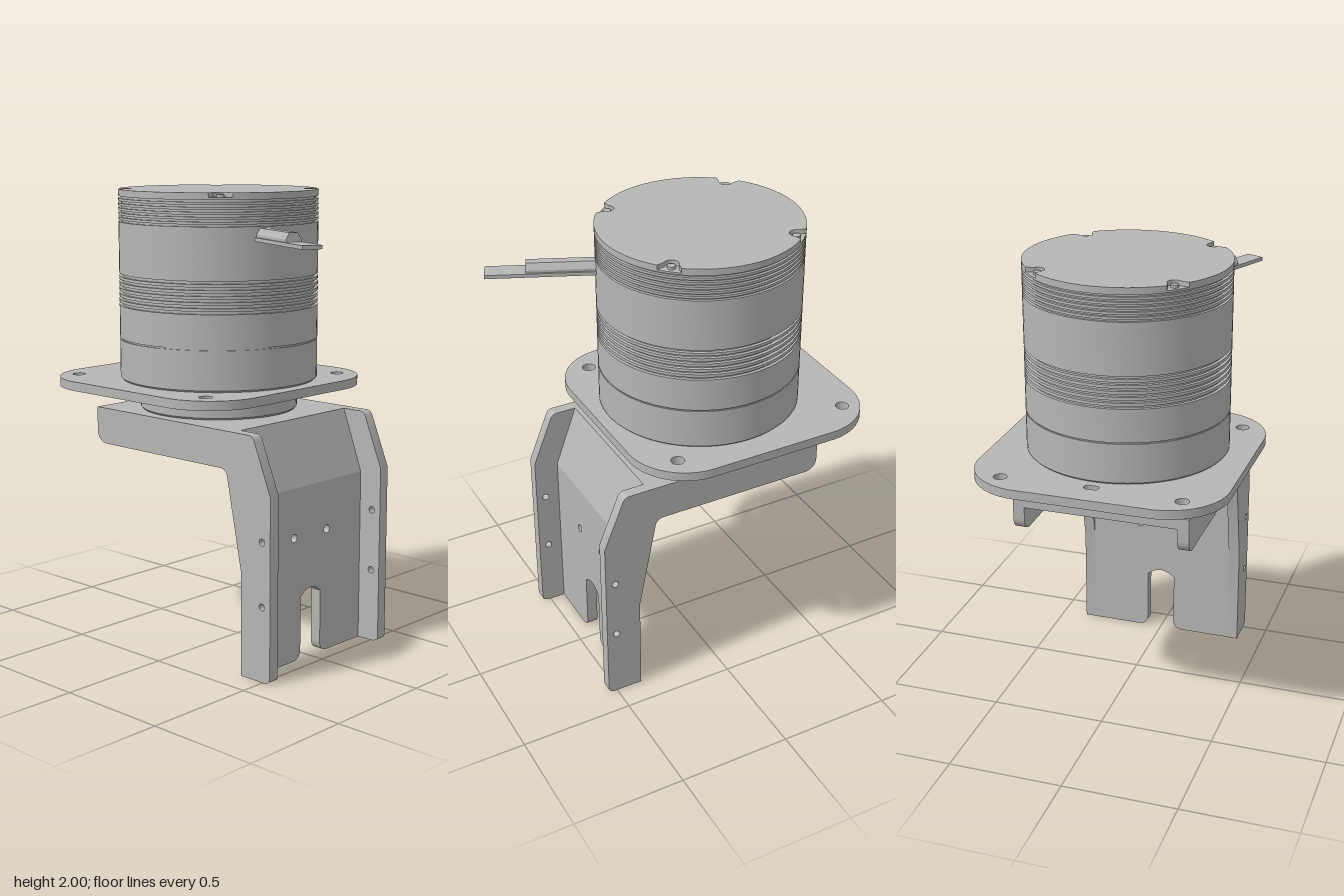
import * as THREE from 'three';
import { toCreasedNormals } from 'three/addons/utils/BufferGeometryUtils.js';

const AXIS_Z = -0.115; // motor axis
const metal = new THREE.MeshStandardMaterial({ color: 0xb6b6b6 });
metal.name = 'grey metal';

function add(group, name, geometry) {
  const mesh = new THREE.Mesh(geometry, metal);
  mesh.name = name;
  group.add(mesh);
  return mesh;
}

const crease = (geometry) => toCreasedNormals(geometry, 0.5);

const extrude = (shape, depth) =>
  crease(new THREE.ExtrudeGeometry(shape, { depth, bevelEnabled: false, curveSegments: 24 }));

// Horizontal plate: shape is (x, z), hanging down from yTop
const slab = (shape, yTop, depth) => extrude(shape, depth).rotateX(Math.PI / 2).translate(0, yTop, 0);

// Side profile: shape is (z, y), running from xMax towards -x
const sideways = (shape, xMax, depth) => extrude(shape, depth).rotateY(-Math.PI / 2).translate(xMax, 0, 0);

const polygon = (points) => new THREE.Shape(points.map(([x, y]) => new THREE.Vector2(x, y)));

function hole(shape, x, y, r) {
  shape.holes.push(new THREE.Path().absarc(x, y, r, 0, Math.PI * 2, true));
}

function holeRing(shape, count, ringRadius, r, offset = 0) {
  for (let i = 0; i < count; i++) {
    const a = offset + (i / count) * Math.PI * 2;
    hole(shape, ringRadius * Math.cos(a), AXIS_Z + ringRadius * Math.sin(a), r);
  }
}

function roundedRect(cx, cy, hw, hh, r) {
  const s = new THREE.Shape();
  s.absarc(cx + hw - r, cy + hh - r, r, 0, Math.PI / 2);
  s.absarc(cx - hw + r, cy + hh - r, r, Math.PI / 2, Math.PI);
  s.absarc(cx - hw + r, cy - hh + r, r, Math.PI, Math.PI * 1.5);
  s.absarc(cx + hw - r, cy - hh + r, r, Math.PI * 1.5, Math.PI * 2);
  s.closePath();
  return s;
}

const lathe = (points) =>
  crease(new THREE.LatheGeometry(points.map(([r, y]) => new THREE.Vector2(r, y)), 80));

function buildBracket() {
  const g = new THREE.Group();
  g.name = 'bracket';

  // Bent side flanges
  const flange = new THREE.Shape();
  flange.moveTo(0.38, 0.005);
  flange.lineTo(0.505, 0.005);
  flange.quadraticCurveTo(0.54, 0.008, 0.54, 0.03);
  flange.lineTo(0.54, 0.8);
  flange.lineTo(0.45, 1.02);
  flange.quadraticCurveTo(0.44, 1.04, 0.42, 1.04);
  flange.lineTo(-0.495, 1.04);
  flange.lineTo(-0.495, 0.935);
  flange.absarc(-0.44, 0.935, 0.055, Math.PI, Math.PI * 1.5);
  flange.lineTo(0.26, 0.88);
  flange.quadraticCurveTo(0.292, 0.88, 0.3, 0.85);
  flange.lineTo(0.38, 0.45);
  flange.closePath();
  for (const y of [0.33, 0.605]) hole(flange, 0.495, y, 0.015);
  add(g, 'leftFlange', sideways(flange, 0.385, 0.05));
  add(g, 'rightFlange', sideways(flange, -0.335, 0.05));

  // Upright plate with open slot
  const web = new THREE.Shape();
  web.moveTo(-0.335, 0.005);
  web.lineTo(-0.115, 0.005);
  web.quadraticCurveTo(-0.065, 0.005, -0.065, 0.055);
  web.lineTo(-0.065, 0.285);
  web.quadraticCurveTo(0, 0.345, 0.065, 0.285);
  web.lineTo(0.065, 0.055);
  web.quadraticCurveTo(0.065, 0.005, 0.115, 0.005);
  web.lineTo(0.335, 0.005);
  web.lineTo(0.335, 0.77);
  web.lineTo(-0.335, 0.77);
  web.closePath();
  for (const x of [-0.11, 0.105]) hole(web, x, 0.553, 0.018);
  add(g, 'uprightPlate', extrude(web, 0.05).translate(0, 0, 0.38));

  // Sloping bend
  const slope = polygon([[0.38, 0.77], [0.43, 0.77], [0.33, 1.04], [0.28, 1.04], [0.297, 0.99]]);
  add(g, 'slopingPlate', sideways(slope, 0.335, 0.67));

  // Top plate with bore and bolt circle
  const top = polygon([[-0.335, -0.495], [0.335, -0.495], [0.335, 0.3], [-0.335, 0.3]]);
  hole(top, 0, AXIS_Z, 0.255);
  holeRing(top, 20, 0.295, 0.014);
  add(g, 'topPlate', slab(top, 1.04, 0.05));
  return g;
}

function buildMotor() {
  const g = new THREE.Group();
  g.name = 'motor';
  const R = 0.435;

  // Housing with cooling grooves
  const profile = [[0, 1.175], [0.427, 1.175], [R, 1.183]];
  const groove = (y, h, depth) => profile.push([R, y], [R - depth, y], [R - depth, y + h], [R, y + h]);
  groove(1.352, 0.006, 0.005);
  for (let i = 0; i < 6; i++) groove(1.502 + i * 0.025, 0.012, 0.014);
  for (let i = 0; i < 6; i++) groove(1.862 + i * 0.02, 0.009, 0.012);
  profile.push([R, 1.98], [0, 1.98]);
  add(g, 'housing', lathe(profile));

  // Lid with four screw notches open to the rim
  const lid = new THREE.Shape();
  const notch = 0.403, r = 0.03, open = 0.115;
  for (let k = 0; k < 4; k++) {
    const a = Math.PI / 4 + k * Math.PI / 2;
    lid.absarc(0, 0, R, a - Math.PI / 2 + open, a - open);
    lid.absarc(notch * Math.cos(a), notch * Math.sin(a), r, a - Math.PI / 2, a - Math.PI * 1.5, true);
    const screw = new THREE.CylinderGeometry(0.017, 0.017, 0.012, 20);
    screw.translate(notch * Math.cos(a), 1.986, notch * Math.sin(a));
    add(g, 'lidScrew', screw);
  }
  lid.closePath();
  add(g, 'lid', slab(lid, 2, 0.02));

  // Output disc and neck below the mounting plate
  add(g, 'outputDisc', lathe([[0, 1.042], [0.34, 1.042], [0.347, 1.05], [0.347, 1.118], [0.34, 1.125],
    [0.31, 1.125], [0.31, 1.136], [0, 1.136]]));
  for (let k = 0; k < 4; k++) {
    const a = k * Math.PI / 2;
    const bolt = new THREE.CylinderGeometry(0.016, 0.016, 0.008, 16);
    add(g, 'discBolt', bolt.translate(0.085 * Math.cos(a), 1.04, 0.085 * Math.sin(a)));
  }
  g.position.z = AXIS_Z;
  return g;
}

function buildMountingPlate() {
  const shape = roundedRect(0, -0.175, 0.545, 0.545, 0.26);
  for (const s of [-1, 1]) {
    hole(shape, s * 0.388, -0.61, 0.029);
    hole(shape, s * 0.422, 0.215, 0.029);
  }
  shape.holes.push(roundedRect(-0.003, -0.597, 0.032, 0.018, 0.017));
  holeRing(shape, 12, 0.39, 0.014, Math.PI / 12);
  return slab(shape, 1.175, 0.04);
}

function buildCable() {
  const g = new THREE.Group();
  g.name = 'cable';
  // Flat strip and raised sleeve, both running along +z from the housing
  add(g, 'strip', new THREE.BoxGeometry(0.084, 0.016, 0.5).translate(0, 1.809, 0.25));
  const sleeve = polygon([[-0.034, 1.803], [0.034, 1.803], [0.034, 1.828], [0.018, 1.855],
    [-0.018, 1.855], [-0.034, 1.828]]);
  add(g, 'sleeve', extrude(sleeve, 0.33));
  g.position.set(-0.135, 0, 0.25);
  g.rotation.y = -0.415;
  return g;
}

export function createModel() {
  const model = new THREE.Group();
  model.name = 'motorOnBracket';
  model.add(buildBracket(), buildMotor(), buildCable());
  add(model, 'mountingPlate', buildMountingPlate());
  return model;
}
